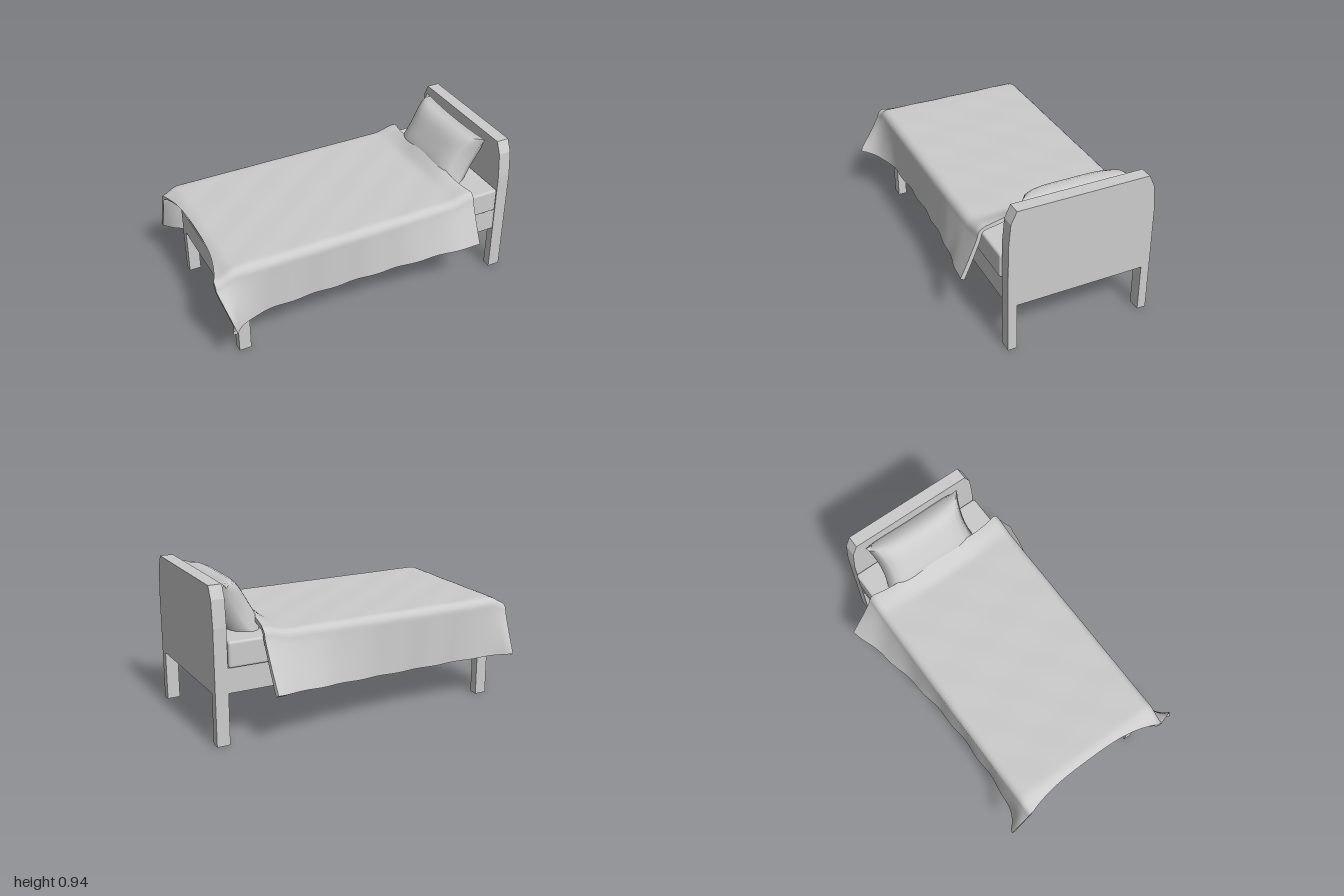
import * as THREE from 'three';
import { toCreasedNormals } from 'three/addons/utils/BufferGeometryUtils.js';
import { RoundedBoxGeometry } from 'three/addons/geometries/RoundedBoxGeometry.js';

const grey = new THREE.MeshStandardMaterial({ color: 0xcccccc });
const CZ = -0.005; // centre line of the bed

function add(group, name, geometry, x = 0, y = 0, z = 0) {
  const mesh = new THREE.Mesh(geometry, grey);
  mesh.name = name;
  mesh.position.set(x, y, z);
  group.add(mesh);
  return mesh;
}

// Box given by its limits on each axis
function block(group, name, x0, x1, y0, y1, z0, z1, radius = 0) {
  const size = [x1 - x0, y1 - y0, z1 - z0];
  const geo = radius ? new RoundedBoxGeometry(...size, 2, radius) : new THREE.BoxGeometry(...size);
  return add(group, name, geo, (x0 + x1) / 2, (y0 + y1) / 2, (z0 + z1) / 2);
}

// Headboard slab with clipped upper corners
function headboardGeometry() {
  const half = [[0.455, 0.31], [0.455, 0.7], [0.44, 0.86], [0.405, 0.935]];
  const outline = [...half, ...half.map(([z, y]) => [-z, y]).reverse()];
  const shape = new THREE.Shape(outline.map(([z, y]) => new THREE.Vector2(z, y)));
  const geo = new THREE.ExtrudeGeometry(shape, { depth: 0.08, bevelEnabled: false });
  return geo.rotateY(Math.PI / 2);
}

// Cushion: a sphere squared off in outline and pinched between its corners
function pillowGeometry() {
  const geo = new THREE.BoxGeometry(2, 2, 2, 16, 16, 16);
  const p = geo.attributes.position;
  for (let i = 0; i < p.count; i++) {
    const across = p.getZ(i), up = p.getY(i), side = p.getX(i);
    const puff = Math.sqrt(Math.max(0, (1 - across ** 4) * (1 - up ** 4)));
    const z = across * 0.34 * (1 - 0.09 * (1 - up * up));
    const y = up * 0.2 * (1 - 0.07 * (1 - across * across));
    p.setXYZ(i, side * (0.004 + 0.104 * puff), y, z);
  }
  return toCreasedNormals(geo, 1.2);
}

// Mid-surface rule of the blanket: u runs foot to head, s runs hem to hem
function blanketPoint(u, s) {
  const a = Math.abs(s), left = s > 0;
  const t = Math.max(0, (a - 0.45) / 0.55);
  const drop = Math.max(0, (t - 0.2) / 0.8);

  // Foot and head edges sweep outwards at the corners
  const corner = Math.min(1, a / 0.47) ** 3;
  const footTop = -0.915 - corner * (left ? 0.075 : 0.05);
  const foot = footTop + drop * (left ? 0.055 : 0.01);
  const head = 0.67 + 0.04 * corner;
  const x = THREE.MathUtils.lerp(foot, head, u);

  // Flare of the hanging sides near both ends
  const f = Math.exp(-Math.max(0, x + 0.94) / 0.1);
  const h = Math.max(0, (x + 0.35) / 1.06) ** 2;
  const flare = left ? 0.165 * f + 0.115 * h : 0.105 * f + 0.17 * h;
  const hem = left ? 0.3 + 0.03 * f + 0.06 * h : 0.265 + 0.025 * f + 0.065 * h;

  // Top sheet: lifted over the pillow, dipping at the foot
  const lift = THREE.MathUtils.smoothstep(x, 0.55, 0.7);
  const dip = THREE.MathUtils.smoothstep(-x, 0.86, 0.98);
  const flat = Math.min(a, 0.45);
  const top = 0.64 + lift * (0.03 + 0.06 * Math.cos(flat * 3.4) ** 2) - 0.05 * dip
    + 0.002 * Math.sin(x * 17 + s * 9) * Math.sin(s * 13);

  // Rounded shoulder, then the fall to the hem
  const angle = Math.min(1, t / 0.2) * Math.PI / 2;
  const y0 = top - 0.05 * (1 - Math.cos(angle));
  const y = THREE.MathUtils.lerp(y0, hem, drop);
  const fold = 0.005 * Math.sin(x * 23 + s) * drop;
  const z = flat + 0.05 * Math.sin(angle) + flare * drop ** 1.1 + fold;
  return new THREE.Vector3(x, y, Math.sign(s) * z);
}

// Thick sheet: outer surface, inner surface and closed rims
function blanketGeometry() {
  const N = 72, M = 90, L = 2 * M + 2, thickness = 0.025, e = 0.002;
  const positions = [], index = [];
  for (let i = 0; i <= N; i++) {
    const outer = [], inner = [];
    for (let j = 0; j <= M; j++) {
      const u = i / N, s = -1 + 2 * j / M;
      const point = blanketPoint(u, s);
      const du = blanketPoint(u + e, s).sub(blanketPoint(u - e, s));
      const ds = blanketPoint(u, s + e).sub(blanketPoint(u, s - e));
      const normal = ds.cross(du).normalize();
      outer.push(point);
      inner.push(point.clone().addScaledVector(normal, -thickness));
    }
    for (const v of [...outer, ...inner.reverse()]) positions.push(v.x, v.y, v.z);
  }
  const quad = (a, b, c, d) => index.push(a, b, c, a, c, d);
  for (let i = 0; i < N; i++) {
    for (let k = 0; k < L; k++) {
      const n = (k + 1) % L;
      quad(i * L + k, i * L + n, (i + 1) * L + n, (i + 1) * L + k);
    }
  }
  for (let j = 0; j < M; j++) {
    const o = j, p = j + 1, q = L - 2 - j, r = L - 1 - j, end = N * L;
    quad(o, r, q, p);
    quad(end + o, end + p, end + q, end + r);
  }
  const geo = new THREE.BufferGeometry();
  geo.setAttribute('position', new THREE.Float32BufferAttribute(positions, 3));
  geo.setIndex(index);
  return toCreasedNormals(geo, 0.8);
}

export function createModel() {
  const bed = new THREE.Group();
  bed.name = 'bed';

  // Wooden frame
  add(bed, 'headboard', headboardGeometry(), 0.92, 0, CZ);
  block(bed, 'bedFrame', -0.86, 0.92, 0.31, 0.46, CZ - 0.45, CZ + 0.45);
  for (const side of [-1, 1]) {
    const label = side > 0 ? 'Front' : 'Back';
    const z = CZ + side * 0.4275;
    block(bed, 'headLeg' + label, 0.92, 1, 0, 0.31, z - 0.0275, z + 0.0275);
    block(bed, 'footLeg' + label, -0.86, -0.785, 0, 0.31, z - 0.0275, z + 0.0275);
  }

  // Bedding
  block(bed, 'mattress', -0.86, 0.915, 0.46, 0.615, CZ - 0.465, CZ + 0.465, 0.015);
  const pillow = add(bed, 'pillow', pillowGeometry(), 0.79, 0.735, -0.025);
  pillow.rotation.z = -0.52;
  const blanket = add(bed, 'blanket', blanketGeometry());
  blanket.material = grey.clone();
  blanket.material.side = THREE.DoubleSide;

  return bed;
}
